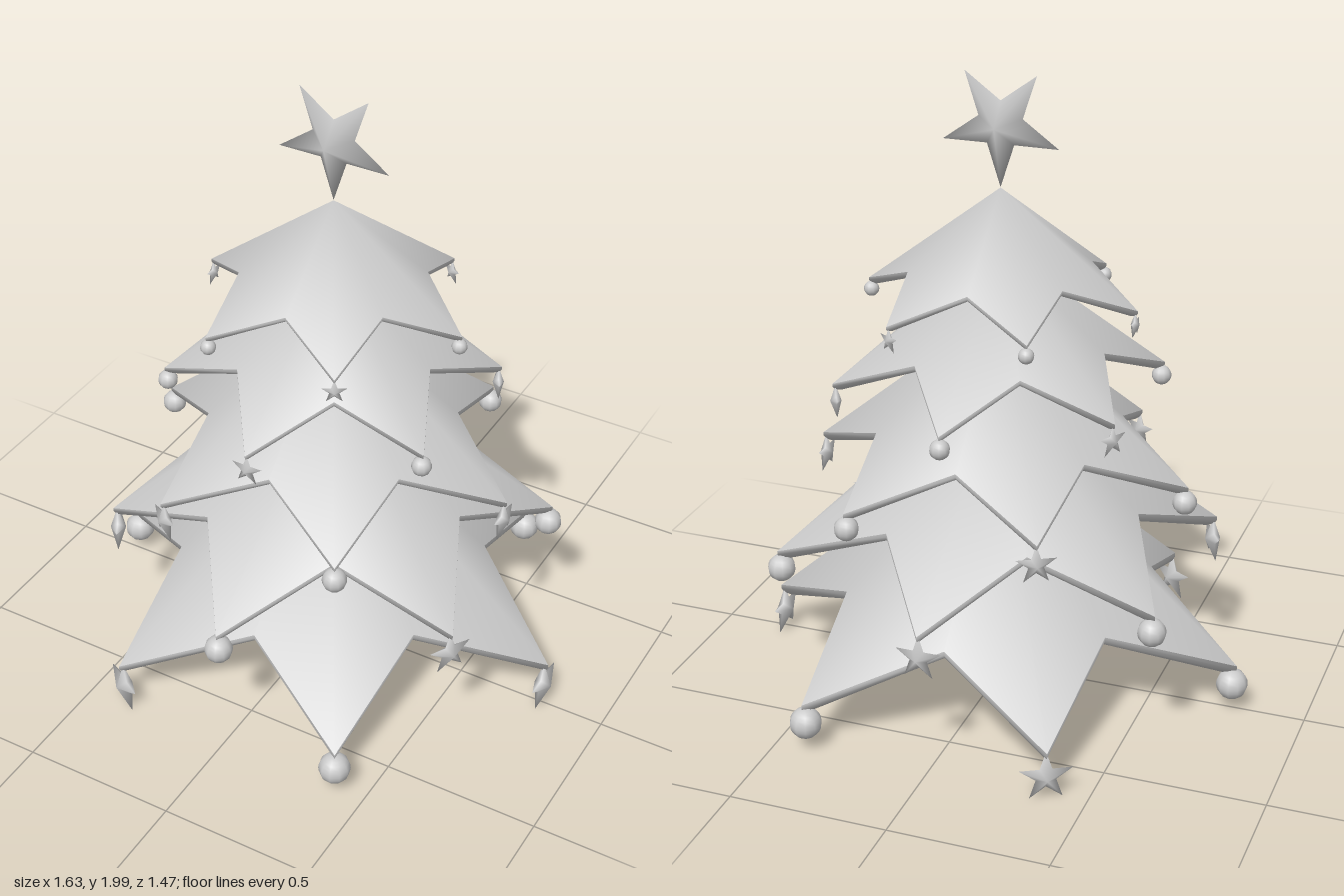
import * as THREE from 'three';

const material = new THREE.MeshStandardMaterial({ color: 0xcccccc });
const shellMaterial = new THREE.MeshStandardMaterial({ color: 0xcccccc, side: THREE.DoubleSide });

function mesh(name, geometry, mat = material) {
  const m = new THREE.Mesh(geometry, mat);
  m.name = name;
  return m;
}

function indexed(points, index) {
  const g = new THREE.BufferGeometry();
  g.setAttribute('position', new THREE.Float32BufferAttribute(points.flatMap(p => p.toArray()), 3));
  g.setIndex(index);
  g.computeVertexNormals();
  return g;
}

// Five-pointed star facing +z, swelling to a peak on both faces
function starGeometry(radius, depth, pointDown = false) {
  const points = [new THREE.Vector3(0, 0, depth), new THREE.Vector3(0, 0, -depth)];
  const index = [];
  const start = pointDown ? -Math.PI / 2 : Math.PI / 2;
  for (let i = 0; i < 10; i++) {
    const a = start + i * Math.PI / 5;
    const r = i % 2 ? radius * 0.38 : radius;
    points.push(new THREE.Vector3(Math.cos(a) * r, Math.sin(a) * r, 0));
    const p = 2 + i, q = 2 + (i + 1) % 10;
    index.push(0, p, q, 1, q, p);
  }
  return indexed(points, index);
}

// Zigzag edge of a tier: six low tips with six raised notches between them.
// The inset is mitred, so it moves the sharp tips further than the notches.
function tierOutline(t, inset = 0, drop = 0) {
  return Array.from({ length: 12 }, (_, i) => {
    const a = t.turn + i * Math.PI / 6;
    const r = i % 2 ? t.notchR - inset * 1.11 : t.tipR - inset * 1.8;
    return new THREE.Vector3(Math.cos(a) * r, (i % 2 ? t.notchY : t.tipY) - drop, Math.sin(a) * r);
  });
}

// Star-shaped cone from an apex down to an outline
function coneGeometry(apexY, outline, inward) {
  const index = [];
  for (let i = 0; i < 12; i++) {
    const p = 1 + i, q = 1 + (i + 1) % 12;
    index.push(0, inward ? p : q, inward ? q : p);
  }
  return indexed([new THREE.Vector3(0, apexY, 0), ...outline], index);
}

// Rounded edge joining the top of a tier to its underside
function rimGeometry(t) {
  const profile = [[0, 0], [0, 0.45], [0.2, 0.85], [0.7, 1]];
  const points = profile.flatMap(([inset, drop]) => tierOutline(t, inset * t.thick, drop * t.thick));
  const index = [];
  for (let k = 0; k < profile.length - 1; k++) {
    for (let i = 0; i < 12; i++) {
      const a = k * 12 + i, b = k * 12 + (i + 1) % 12;
      index.push(a, b, a + 12, b, b + 12, a + 12);
    }
  }
  return indexed(points, index);
}

function buildTier(t) {
  const tier = new THREE.Group();
  tier.name = 'tier';

  // Thick star-shaped cone of branches, hollow below
  tier.add(mesh('branches', coneGeometry(t.apex, tierOutline(t), false), shellMaterial));
  tier.add(mesh('rim', rimGeometry(t), shellMaterial));
  const inner = tierOutline(t, t.thick * 0.7, t.thick);
  tier.add(mesh('underside', coneGeometry(t.apex - t.thick * 1.5, inner, true), shellMaterial));

  // Stars and balls alternate below the tips
  const hooks = tierOutline(t, t.thick * 0.25, 0.008);
  const starR = t.ball * 1.72;
  for (let i = 0; i < 6; i++) {
    const tip = hooks[i * 2];
    const isStar = (i % 2 === 0) === t.starFirst;
    const ornament = isStar
      ? mesh('starOrnament', starGeometry(starR, starR * 0.33))
      : mesh('ballOrnament', new THREE.SphereGeometry(t.ball, 10, 12));
    ornament.position.set(tip.x, tip.y - (isStar ? starR * 0.9 : t.ball * 1.12), tip.z);
    ornament.rotation.y = Math.atan2(tip.x, tip.z);
    tier.add(ornament);
  }
  return tier;
}

export function createModel() {
  const tree = new THREE.Group();
  tree.name = 'tree';
  const turned = Math.PI / 6;
  const tiers = [
    { apex: 1.65, tipR: 0.437, tipY: 1.311, notchR: 0.284, notchY: 1.4, ball: 0.024, thick: 0.018, turn: 0, starFirst: false },
    { apex: 1.46, tipR: 0.523, tipY: 1.051, notchR: 0.335, notchY: 1.161, ball: 0.031, thick: 0.021, turn: turned, starFirst: false },
    { apex: 1.268, tipR: 0.613, tipY: 0.756, notchR: 0.392, notchY: 0.876, ball: 0.038, thick: 0.024, turn: 0, starFirst: true },
    { apex: 1.065, tipR: 0.714, tipY: 0.494, notchR: 0.455, notchY: 0.641, ball: 0.044, thick: 0.027, turn: turned, starFirst: true },
    { apex: 0.87, tipR: 0.79, tipY: 0.165, notchR: 0.499, notchY: 0.331, ball: 0.05, thick: 0.03, turn: 0, starFirst: true },
  ];
  tiers.forEach(t => tree.add(buildTier(t)));

  // Large star balanced on its point
  const topStar = mesh('topStar', starGeometry(0.193, 0.06, true));
  topStar.position.y = 1.844;
  tree.add(topStar);

  tree.position.set(0.011, 0, -0.009);
  const model = new THREE.Group();
  model.name = 'decoratedTree';
  model.add(tree);
  return model;
}
